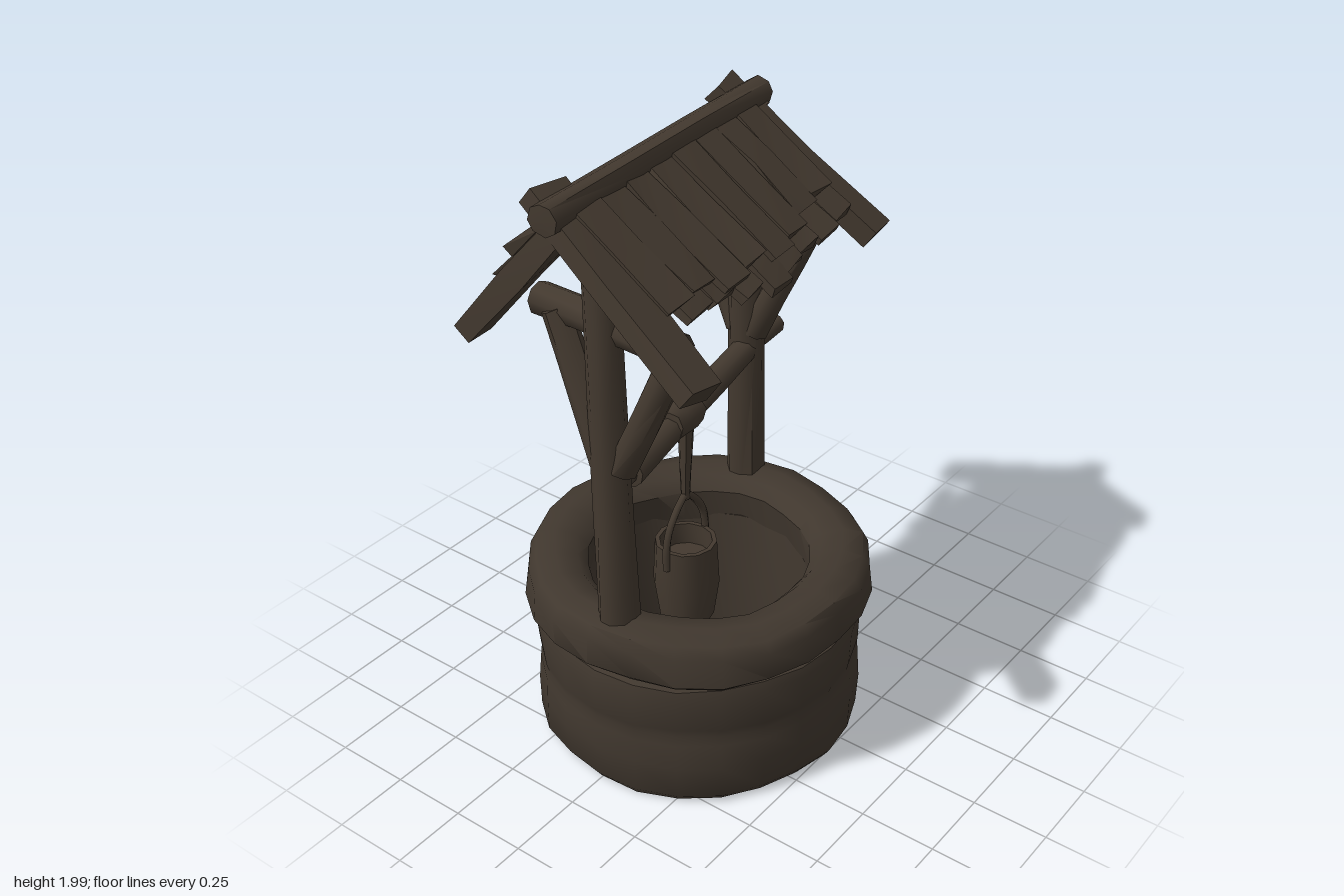
import * as THREE from 'three';
import { mergeVertices, toCreasedNormals } from 'three/addons/utils/BufferGeometryUtils.js';

const V = (x, y, z) => new THREE.Vector3(x, y, z);

export function createModel() {
  const root = new THREE.Group();
  root.name = 'well';
  const wood = new THREE.MeshStandardMaterial({ color: 0x43392f });
  wood.name = 'dark wood';
  const stone = new THREE.MeshStandardMaterial({ color: 0x40372e });
  stone.name = 'dark stone';

  let seed = 7;
  const rand = () => ((seed = (seed * 16807) % 2147483647) / 2147483647);
  const vary = (a) => (rand() - 0.5) * 2 * a;

  function add(name, geometry, material = wood, parent = root) {
    const mesh = new THREE.Mesh(geometry, material);
    mesh.name = name;
    parent.add(mesh);
    return mesh;
  }

  // Moves shared corners together so the surface stays closed
  function roughen(geometry, amount) {
    const p = geometry.attributes.position;
    const moved = new Map();
    for (let i = 0; i < p.count; i++) {
      const key = [p.getX(i), p.getY(i), p.getZ(i)].map((n) => Math.round(n * 1e4)).join();
      if (!moved.has(key)) moved.set(key, [vary(amount), vary(amount), vary(amount)]);
      const d = moved.get(key);
      p.setXYZ(i, p.getX(i) + d[0], p.getY(i) + d[1], p.getZ(i) + d[2]);
    }
    return geometry;
  }

  // Round timber from a to b
  function pole(name, a, b, r0, r1 = r0, parent = root, sides = 9) {
    const g = roughen(new THREE.CylinderGeometry(r1, r0, a.distanceTo(b), sides, 3), r0 * 0.07);
    const mesh = add(name, toCreasedNormals(g, 0.9), wood, parent);
    mesh.position.copy(a).lerp(b, 0.5);
    mesh.quaternion.setFromUnitVectors(V(0, 1, 0), b.clone().sub(a).normalize());
    return mesh;
  }

  // Flat timber from a to b, its width running along the given side direction
  function plank(name, a, b, side, width, thick, parent = root) {
    const g = roughen(new THREE.BoxGeometry(width, a.distanceTo(b), thick, 1, 2, 1), 0.008);
    const dir = b.clone().sub(a).normalize();
    const normal = side.clone().cross(dir).normalize();
    const mesh = add(name, toCreasedNormals(g, 0.5), wood, parent);
    mesh.quaternion.setFromRotationMatrix(
      new THREE.Matrix4().makeBasis(dir.clone().cross(normal), dir, normal));
    mesh.position.copy(a).lerp(b, 0.5);
    return mesh;
  }

  // Lathed masonry with an uneven, slightly oval surface
  function masonry(name, profile, amount, phase) {
    const g = new THREE.LatheGeometry(profile.map(([r, y]) => new THREE.Vector2(r, y)), 24);
    const p = g.attributes.position;
    for (let i = 0; i < p.count; i++) {
      const x = p.getX(i), y = p.getY(i), z = p.getZ(i), a = Math.atan2(z, x);
      const k = 1 + 0.006 * Math.cos(2 * a)
        + amount * (Math.sin(a * 5 + y * 13 + phase) + 0.7 * Math.sin(a * 9 - y * 21 + phase));
      p.setXYZ(i, x * k, y + 0.5 * amount * Math.sin(a * 4 + phase), z * k);
    }
    g.deleteAttribute('normal');
    g.deleteAttribute('uv');
    add(name, toCreasedNormals(mergeVertices(g, 1e-4), 0.8), stone).position.x = -0.1;
  }

  // Stone shaft, open at both ends, and its overhanging rim
  masonry('stoneWall', [[0.345, 0.03], [0.42, 0.015], [0.505, 0.015], [0.522, 0.04], [0.524, 0.15],
    [0.523, 0.24], [0.514, 0.27], [0.522, 0.3], [0.524, 0.42], [0.515, 0.45], [0.49, 0.46],
    [0.485, 0.5], [0.37, 0.5], [0.35, 0.25], [0.345, 0.03]], 0.007, 0.5);
  masonry('stoneRim', [[0.37, 0.475], [0.53, 0.475], [0.55, 0.495], [0.546, 0.59], [0.525, 0.625],
    [0.46, 0.645], [0.39, 0.63], [0.355, 0.59], [0.37, 0.475]], 0.01, 2);

  // Posts with their slanting braces and tie beams
  const frames = [
    { side: 'right', foot: V(-0.54, 0.55, 0.04), top: V(-0.54, 1.81, 0.01), z0: 0.27, z1: -0.25 },
    { side: 'left', foot: V(0.345, 0.55, -0.14), top: V(0.345, 1.84, -0.145), z0: 0.1, z1: -0.46 },
  ];
  for (const { side, foot, top, z0, z1 } of frames) {
    const frame = new THREE.Group();
    frame.name = side + 'Frame';
    root.add(frame);
    pole('post', foot, top, 0.064, 0.055, frame, 10);
    const x = foot.x + 0.02;
    pole('tieBeam', V(x, 1.605, z0), V(x + 0.02, 1.6, z1), 0.05, 0.05, frame, 8);
    for (const [z, s] of [[z0 - 0.01, 1], [z1 + 0.08, -1]]) {
      pole('brace', V(foot.x, 1.17, foot.z + s * 0.03), V(x, 1.6, z), 0.046, 0.046, frame, 8);
    }
  }

  // Ridge pole and shingle rows, each row lying over the one below it
  const roof = new THREE.Group();
  roof.name = 'roof';
  root.add(roof);
  const ridgeA = V(-0.67, 1.95, -0.068), ridgeB = V(0.48, 1.92, -0.2);
  const along = ridgeB.clone().sub(ridgeA).normalize();
  pole('ridgePole', ridgeA, ridgeB, 0.047, 0.045, roof, 8);
  // Each row: start and end down the slope, lift, start and end along the ridge, count
  const slopes = [
    { name: 'frontShingle', run: V(0.045, -0.31, 0.39),
      rows: [[0, 0.9, 0.01, 0.08, 0.92, 8], [0.5, 1, -0.014, 0.14, 0.92, 8]] },
    { name: 'backShingle', run: V(-0.035, -0.335, -0.315),
      rows: [[0, 0.7, 0.01, 0.08, 0.9, 8], [0.42, 1.02, -0.014, 0.14, 0.8, 7]] },
  ];
  for (const { name, run, rows } of slopes) {
    for (const [from, to, lift, u0, u1, count] of rows) {
      for (let i = 0; i < count; i++) {
        const t = (i + 0.5) / count;
        const start = ridgeA.clone().lerp(ridgeB, u0 + (u1 - u0) * t);
        start.y += lift;
        // The eave is slightly arched: outer shingles are shorter
        const end = to - 0.16 * (2 * t - 1) ** 2 + vary(0.05);
        const a = start.clone().addScaledVector(run, from);
        const b = start.clone().addScaledVector(run, end).addScaledVector(along, vary(0.012));
        b.y += 0.015;
        plank(name, a, b, along, 1.13 * (u1 - u0) / count, 0.028, roof);
      }
    }
  }

  // Heavy boards covering the gable edges
  const boards = [
    ['rightFrontGableBoard', V(-0.56, 1.975, -0.165), V(-0.62, 1.565, 0.41), 0.13],
    ['rightBackGableBoard', V(-0.57, 1.93, -0.05), V(-0.66, 1.53, -0.37), 0.12],
    ['leftFrontGableBoard', V(0.37, 1.95, -0.27), V(0.515, 1.54, 0.22), 0.1],
    ['leftBackGableBoard', V(0.4, 1.91, -0.18), V(0.41, 1.52, -0.52), 0.12],
  ];
  for (const [name, a, b, width] of boards) plank(name, a, b, along, width, 0.068, roof);

  // Winding axle, rope coil and hand crank
  const winch = new THREE.Group();
  winch.name = 'winch';
  root.add(winch);
  pole('axle', V(-0.46, 1.09, 0.025), V(0.36, 1.105, -0.14), 0.046, 0.044, winch);
  pole('axlePin', V(-0.56, 1.085, 0.04), V(-0.45, 1.09, 0.02), 0.03, 0.03, winch);
  pole('ropeCoil', V(-0.21, 1.105, -0.025), V(-0.075, 1.1, -0.052), 0.05, 0.06, winch);
  pole('crankHub', V(0.34, 1.13, -0.14), V(0.46, 1.14, -0.2), 0.045, 0.045, winch);
  pole('crankArm', V(0.44, 1.17, -0.2), V(0.475, 0.98, -0.24), 0.026, 0.024, winch, 7);
  pole('crankHandle', V(0.46, 0.985, -0.24), V(0.71, 0.98, -0.283), 0.026, 0.034, winch, 8);

  // Rope splitting into the pail bail
  const pail = new THREE.Group();
  pail.name = 'pailAndRope';
  pail.position.set(-0.1, 0, -0.05);
  root.add(pail);
  pole('rope', V(0, 0.78, 0), V(0.005, 1.08, 0), 0.014, 0.028, pail, 7);
  for (const s of [-1, 1]) {
    const curve = new THREE.CatmullRomCurve3([V(0, 0.8, 0), V(s * 0.04, 0.765, 0),
      V(s * 0.085, 0.7, 0), V(s * 0.1, 0.64, 0), V(s * 0.1, 0.56, 0)]);
    add('bail', new THREE.TubeGeometry(curve, 10, 0.013, 6), wood, pail);
  }

  // Bulging pail, hollow at the top
  const pailProfile = [[0, 0.34], [0.09, 0.34], [0.108, 0.47], [0.1, 0.625], [0.085, 0.625],
    [0.085, 0.55], [0, 0.55]];
  const pailShape = new THREE.LatheGeometry(pailProfile.map(([r, y]) => new THREE.Vector2(r, y)), 12);
  add('pail', toCreasedNormals(pailShape, 0.7), wood, pail);
  return root;
}
